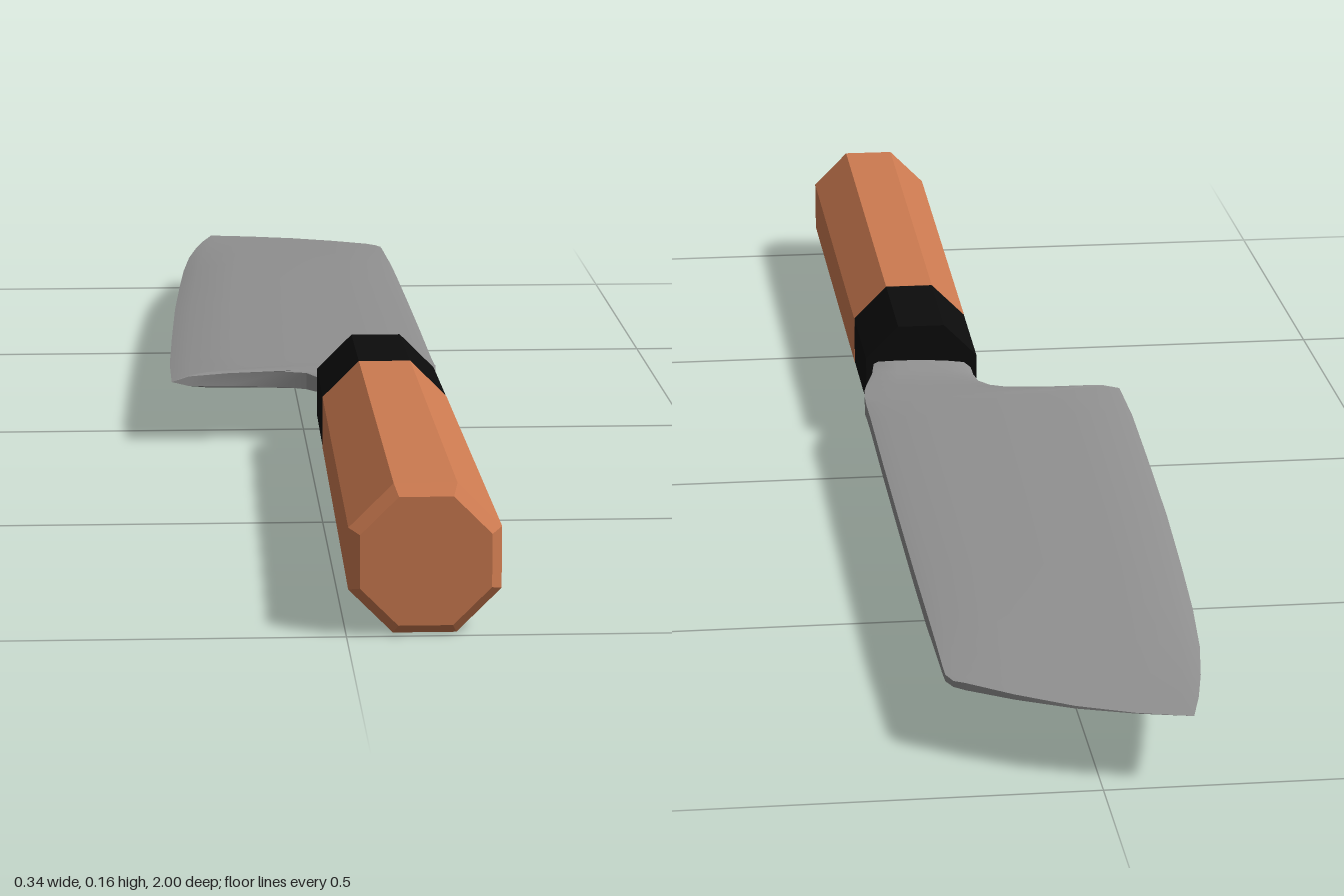
import * as THREE from 'three';
import { toCreasedNormals } from 'three/addons/utils/BufferGeometryUtils.js';

const AXIS_X = 0.084, AXIS_Y = 0.0825;

const material = (name, color) => {
  const m = new THREE.MeshStandardMaterial({ color });
  m.name = name;
  return m;
};

// Eight-sided bar along z, from [apothem, z] pairs
function octagonBar(name, profile, mat) {
  const points = profile.map(([a, z]) => new THREE.Vector2(a / Math.cos(Math.PI / 8), z));
  const geo = new THREE.LatheGeometry(points, 8, Math.PI / 8);
  geo.rotateX(Math.PI / 2);
  const mesh = new THREE.Mesh(toCreasedNormals(geo, 0.1), mat);
  mesh.name = name;
  mesh.position.set(AXIS_X, AXIS_Y, 0);
  return mesh;
}

// Blade cross-sections from neck to tip:
// [edge x, edge z, spine x, spine z, half thickness, edge bluntness, bow in z]
const SECTIONS = [
  [0.018, 0.165, 0.148, 0.165, 0.030, 0.5, 0],
  [0.018, 0.148, 0.148, 0.148, 0.026, 0.5, 0],
  [0.017, 0.130, 0.151, 0.134, 0.017, 0.6, 0],
  [0.013, 0.105, 0.157, 0.115, 0.0135, 0.7, 0],
  [0.000, 0.083, 0.162, 0.095, 0.0125, 0.85, 0],
  [-0.030, 0.070, 0.166, 0.075, 0.0125, 0.8, 0],
  [-0.100, 0.071, 0.168, 0.050, 0.0125, 0.7, -0.015],
  [-0.150, 0.077, 0.168, 0.038, 0.0125, 0.5, -0.024],
  [-0.172, 0.081, 0.168, 0.030, 0.0125, 0, -0.030],
  [-0.173, -0.03, 0.167, -0.03, 0.0125, 0, -0.01],
  [-0.168, -0.20, 0.166, -0.20, 0.0125, 0, 0],
  [-0.161, -0.40, 0.164, -0.40, 0.0125, 0, 0],
  [-0.152, -0.57, 0.162, -0.57, 0.0125, 0, 0],
  [-0.144, -0.70, 0.160, -0.69, 0.0125, 0, 0],
  [-0.134, -0.81, 0.158, -0.78, 0.0125, 0, -0.005],
  [-0.122, -0.89, 0.157, -0.84, 0.0125, 0, -0.01],
  [-0.110, -0.95, 0.156, -0.867, 0.0125, 0, -0.016],
  [-0.097, -1.00, 0.149, -0.884, 0.0125, 0, -0.02],
];
// Relative thickness from cutting edge to spine
const ACROSS = [[0, 0], [0.07, 0.58], [0.25, 0.8], [0.5, 0.97], [0.75, 1], [0.95, 0.95], [1, 0.72]];

function bladeGeometry() {
  const n = ACROSS.length, ring = 2 * n, pos = [], index = [];
  for (const [ex, ez, sx, sz, half, blunt, bow] of SECTIONS) {
    for (let k = 0; k < ring; k++) {
      const top = k < n;
      const [v, h] = ACROSS[top ? k : ring - 1 - k];
      const x = ex + (sx - ex) * v;
      const z = ez + (sz - ez) * v + bow * Math.sin(Math.PI * v);
      const taper = THREE.MathUtils.clamp((z + 1) / 0.3, 0, 1); // thins toward the tip
      const t = half * taper * (blunt + (1 - blunt) * h);
      pos.push(x, AXIS_Y + (top ? t : -t), z);
    }
  }
  for (let i = 0; i < SECTIONS.length - 1; i++) {
    for (let k = 0; k < ring; k++) {
      const a = i * ring + k, b = i * ring + (k + 1) % ring;
      index.push(a, b, a + ring, b, b + ring, a + ring);
    }
  }
  // Close the slanted front end
  const last = (SECTIONS.length - 1) * ring;
  for (let k = 0; k < n - 1; k++) {
    const a = last + k, b = a + 1, c = last + ring - 1 - k, d = c - 1;
    index.push(a, b, c, b, d, c);
  }
  const geo = new THREE.BufferGeometry();
  geo.setAttribute('position', new THREE.Float32BufferAttribute(pos, 3));
  geo.setIndex(index);
  return toCreasedNormals(geo, 0.6);
}

export function createModel() {
  const wood = material('warm wood', 0xcc7a50);
  const black = material('black horn', 0x0c0c0c);
  const steel = material('grey steel', 0x909090);

  const model = new THREE.Group();
  model.name = 'kitchenKnife';

  // Handle with a chamfered butt
  model.add(octagonBar('handle',
    [[0, 0.323], [0.0755, 0.323], [0.0815, 0.985], [0.070, 1.0], [0, 1.0]], wood));
  // Collar between handle and blade
  model.add(octagonBar('ferrule',
    [[0, 0.150], [0.0735, 0.150], [0.0752, 0.323], [0, 0.323]], black));

  const blade = new THREE.Mesh(bladeGeometry(), steel);
  blade.name = 'blade';
  model.add(blade);
  return model;
}
